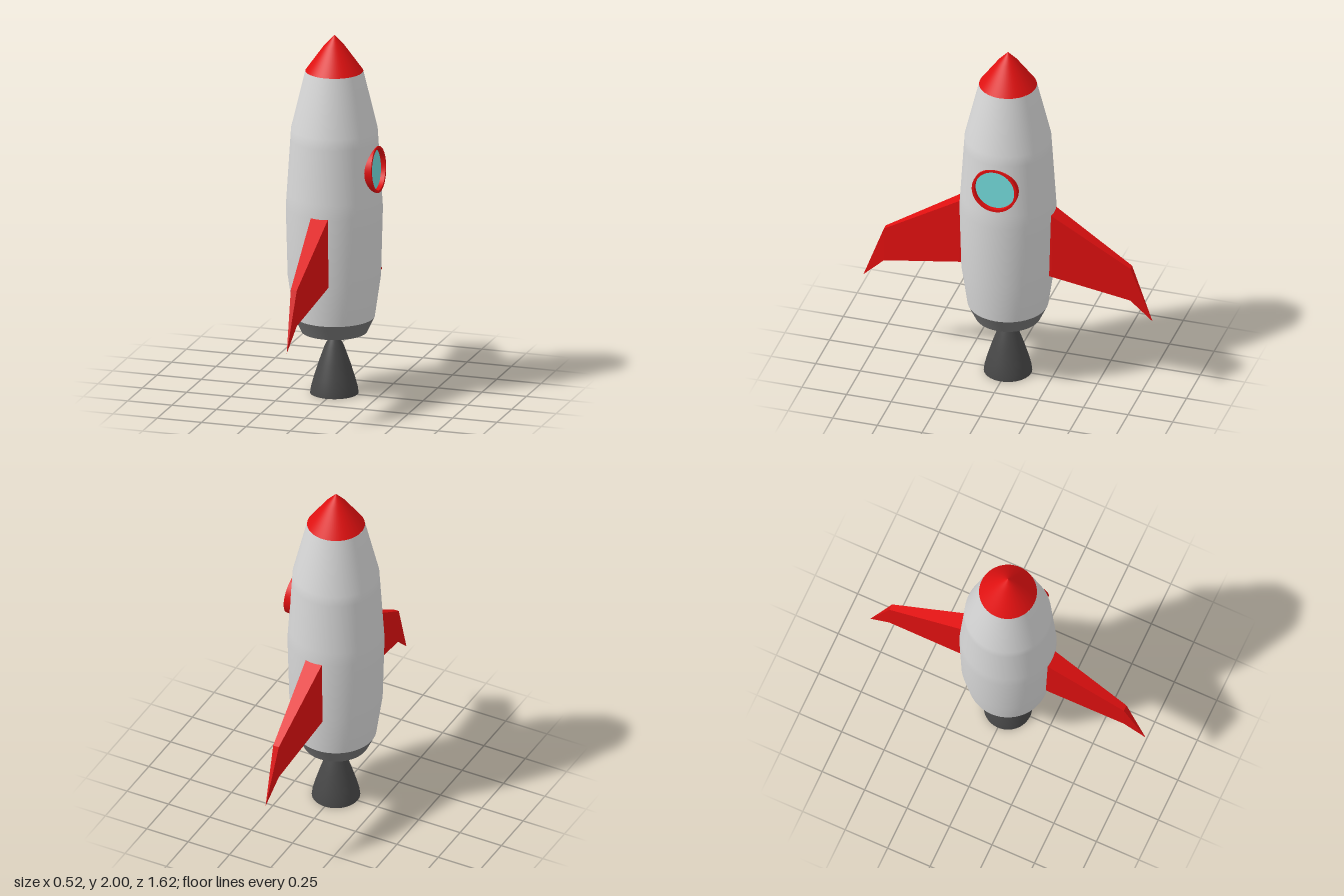
import * as THREE from 'three';
import { toCreasedNormals } from 'three/addons/utils/BufferGeometryUtils.js';

const material = (name, color, side = THREE.FrontSide) => {
  const m = new THREE.MeshStandardMaterial({ color, side });
  m.name = name;
  return m;
};

function addMesh(parent, name, geometry, mat) {
  const mesh = new THREE.Mesh(geometry, mat);
  mesh.name = name;
  parent.add(mesh);
  return mesh;
}

const lathe = (points, segments = 64) =>
  new THREE.LatheGeometry(points.map(([r, y]) => new THREE.Vector2(r, y)), segments);

const WINDOW_Y = 1.27;

// Hull of revolution with a round opening for the window
function hullGeometry() {
  const key = [[0.217, 0.43], [0.25, 0.66], [0.26, 1.04], [0.232, 1.48], [0.155, 1.8]];
  const profile = key.slice(0, 3);
  const [r0, y0] = key[2], [r1, y1] = key[3];
  for (let y = 1.12; y < 1.425; y += 0.01) {
    profile.push([r0 + (r1 - r0) * (y - y0) / (y1 - y0), y]);
  }
  profile.push(key[3], key[4]);
  const geo = lathe(profile, 160);
  const p = geo.attributes.position, idx = geo.index.array, kept = [];
  for (let i = 0; i < idx.length; i += 3) {
    const tri = [idx[i], idx[i + 1], idx[i + 2]];
    const mean = (axis) => tri.reduce((s, v) => s + p.getComponent(v, axis), 0) / 3;
    const inWindow = mean(0) > 0 && Math.hypot(mean(1) - WINDOW_Y, mean(2)) < 0.1185;
    if (!inWindow) kept.push(...tri);
  }
  geo.setIndex(kept);
  return geo;
}

// Swept fin: two rectangular sections tapering to a point
function finGeometry() {
  const sections = [
    { z: 0.2, top: 1.075, bottom: 0.67, half: 0.05 },
    { z: 0.26, top: 1.04, bottom: 0.658, half: 0.048 },
    { z: 0.69, top: 0.77, bottom: 0.57, half: 0.017 },
    { z: 0.81, top: 0.45, bottom: 0.45, half: 0 },
  ];
  const verts = [], index = [];
  for (const { z, top, bottom, half } of sections) {
    verts.push(-half, bottom, z, half, bottom, z, half, top, z, -half, top, z);
  }
  for (let s = 0; s < sections.length - 1; s++) {
    for (let k = 0; k < 4; k++) {
      const a = s * 4 + k, b = s * 4 + (k + 1) % 4;
      index.push(a, b, b + 4, a, b + 4, a + 4);
    }
  }
  const geo = new THREE.BufferGeometry();
  geo.setAttribute('position', new THREE.Float32BufferAttribute(verts, 3));
  geo.setIndex(index);
  const flat = geo.toNonIndexed();
  flat.computeVertexNormals();
  return flat;
}

export function createModel() {
  const rocket = new THREE.Group();
  rocket.name = 'rocket';
  const white = material('hull light grey', 0xd8d8d8);
  const red = material('red', 0xe01010);
  const grey = material('skirt grey', 0x737373);
  const dark = material('engine dark grey', 0x474747, THREE.DoubleSide);
  const aqua = material('window aqua', 0x70d6d6);

  addMesh(rocket, 'hull', hullGeometry(), white);
  addMesh(rocket, 'noseCone', lathe([[0.155, 1.8], [0.055, 1.94], [0, 2]]), red);

  // Hollow skirt with an inner ceiling
  const skirt = lathe([[0, 0.43], [0.2, 0.43], [0.162, 0.345], [0.177, 0.345], [0.217, 0.43]]);
  addMesh(rocket, 'tailSkirt', toCreasedNormals(skirt, 0.6), grey);

  // Engine: chamber, narrow throat and open bell
  addMesh(rocket, 'engineBell', lathe([[0.13, 0], [0.125, 0.035], [0.11, 0.09],
    [0.085, 0.17], [0.053, 0.26], [0.025, 0.315], [0.008, 0.345]]), dark);
  addMesh(rocket, 'engineChamber',
    toCreasedNormals(lathe([[0.008, 0.345], [0.045, 0.375], [0.045, 0.43]], 32), 0.6), dark);

  // Front and back fins
  const fin = finGeometry();
  addMesh(rocket, 'frontFin', fin, red);
  addMesh(rocket, 'backFin', fin, red).rotation.y = Math.PI;

  // Round window on the left side, tilted slightly upward
  const porthole = new THREE.Group();
  porthole.name = 'window';
  porthole.position.set(0.25, WINDOW_Y, 0);
  porthole.rotation.z = -Math.PI / 2 + 0.065;
  const rim = lathe([[0.126, -0.05], [0.126, 0], [0.112, 0], [0.112, -0.05]]);
  addMesh(porthole, 'windowRim', toCreasedNormals(rim, 0.6), red);
  const glass = new THREE.CircleGeometry(0.114, 48).rotateX(-Math.PI / 2).translate(0, -0.025, 0);
  addMesh(porthole, 'windowGlass', glass, aqua);
  rocket.add(porthole);

  return rocket;
}
